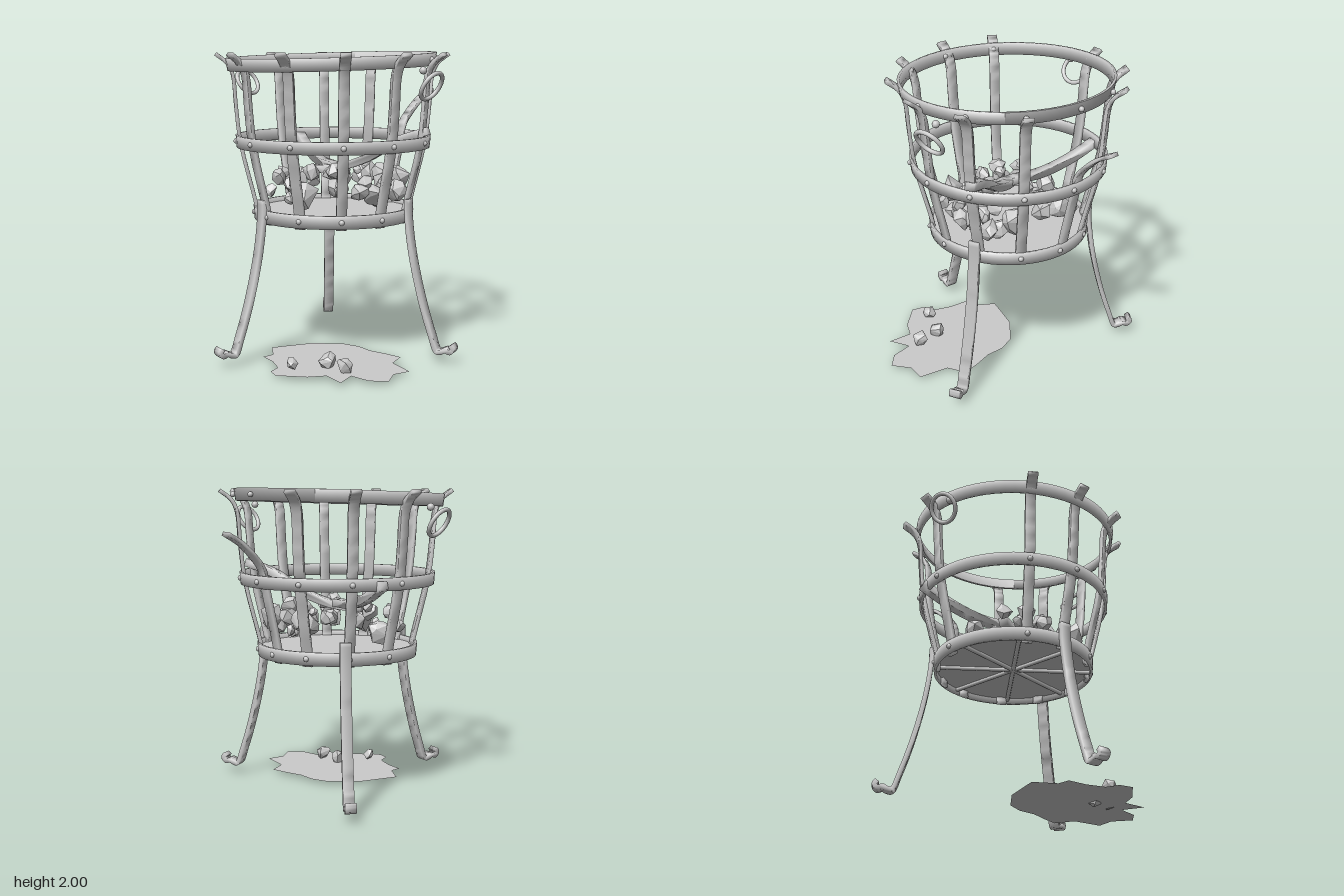
import * as THREE from 'three';
import { toCreasedNormals } from 'three/addons/utils/BufferGeometryUtils.js';
import { ConvexGeometry } from 'three/addons/geometries/ConvexGeometry.js';

const CX = -0.025, CZ = 0.017; // basket axis
const rad = THREE.MathUtils.degToRad;

export function createModel() {
  const model = new THREE.Group();
  model.name = 'fireBasket';
  const iron = new THREE.MeshStandardMaterial({ color: 0xcacaca });
  iron.name = 'light grey';
  iron.side = THREE.DoubleSide;

  let seed = 7;
  const rnd = () => (seed = (seed * 16807) % 2147483647) / 2147483647;

  const add = (name, geo, parent = model) => {
    const mesh = new THREE.Mesh(geo, iron);
    mesh.name = name;
    parent.add(mesh);
    return mesh;
  };

  // Forged iron bar with soft edges: path in the (radius, height) plane, given a thickness and a width
  const barGeo = (path, thick, width, steps = 24) => {
    const curve = new THREE.CatmullRomCurve3(path.map(([r, y]) => new THREE.Vector3(r, y, 0)));
    const outer = [], inner = [];
    for (let i = 0; i <= steps; i++) {
      const p = curve.getPoint(i / steps), t = curve.getTangent(i / steps);
      outer.push(new THREE.Vector2(p.x + t.y * thick / 2, p.y - t.x * thick / 2));
      inner.unshift(new THREE.Vector2(p.x - t.y * thick / 2, p.y + t.x * thick / 2));
    }
    const geo = new THREE.ExtrudeGeometry(new THREE.Shape([...outer, ...inner]), { depth: width, bevelEnabled: false });
    geo.translate(0, 0, -width / 2);
    return toCreasedNormals(geo, rad(100));
  };

  // Turns a part around the basket axis; 0 is +x and 90 is the front
  const place = (mesh, deg) => {
    mesh.position.set(CX, 0, CZ);
    mesh.rotation.y = -rad(deg);
  };

  // Hoops with soft edges, the top one tilted up at the back
  const hoop = (name, rLow, rHigh, y, h, tilt, z) => {
    const t = 0.018;
    const profile = [[rLow - t, y - h / 2], [rLow, y - h / 2], [rHigh, y + h / 2], [rHigh - t, y + h / 2], [rLow - t, y - h / 2]];
    const geo = new THREE.LatheGeometry(profile.map(([a, b]) => new THREE.Vector2(a, b)), 64);
    const pos = geo.attributes.position;
    for (let i = 0; i < pos.count; i++) pos.setY(i, pos.getY(i) - tilt * pos.getZ(i));
    add(name, toCreasedNormals(geo, rad(100))).position.set(CX, 0, z);
  };
  hoop('topHoop', 0.676, 0.688, 1.938, 0.08, 0.035, 0.033);
  hoop('middleHoop', 0.636, 0.642, 1.42, 0.08, 0, CZ);
  hoop('bottomHoop', 0.524, 0.53, 0.95, 0.085, 0, CZ);

  // Upright straps with rivets; one is missing and the back one is bent outward
  const straight = [[0.495, 0.9], [0.512, 1.0], [0.608, 1.4], [0.637, 1.65], [0.655, 1.85], [0.69, 1.925], [0.765, 1.985]];
  const bent = [[0.495, 0.9], [0.512, 1.0], [0.608, 1.4], [0.63, 1.5], [0.7, 1.585], [0.79, 1.665], [0.905, 1.73]];
  const strapGeo = barGeo(straight, 0.025, 0.066);
  const bentGeo = barGeo(bent, 0.025, 0.062);
  const rivetGeo = new THREE.SphereGeometry(0.018, 10, 8);
  for (let deg = 0; deg < 360; deg += 30) {
    if (deg === 150) continue;
    const isBent = deg === 270;
    const turn = deg === 90 ? 92 : isBent ? 266 : deg;
    place(add(isBent ? 'bentStrap' : 'strap', isBent ? bentGeo : strapGeo), turn);
    const a = rad(deg);
    for (const [r, y, tilt] of [[0.525, 0.95, 0], [0.638, 1.42, 0], [0.68, 1.938, 0.035]]) {
      add('rivet', rivetGeo).position.set(CX + r * Math.cos(a), y - tilt * r * Math.sin(a), CZ + r * Math.sin(a));
    }
  }

  // Three legs with curled feet
  const legGeo = barGeo([[0.54, 1.06], [0.545, 0.92], [0.575, 0.7], [0.645, 0.4], [0.715, 0.18], [0.755, 0.08],
    [0.785, 0.08], [0.815, 0.095], [0.845, 0.085], [0.866, 0.11], [0.85, 0.133]], 0.032, 0.07, 50);
  for (const deg of [93, 213, 332]) place(add('leg', legGeo), deg);

  // Floor plate on a star of rods
  add('floorPlate', new THREE.CylinderGeometry(0.515, 0.515, 0.012, 64)).position.set(CX, 0.955, CZ);
  const rodGeo = new THREE.CylinderGeometry(0.014, 0.014, 1.02, 8).rotateZ(Math.PI / 2);
  for (let i = 0; i < 4; i++) {
    const rod = add('floorRod', rodGeo);
    rod.position.set(CX, 0.938, CZ);
    rod.rotation.y = rad(i * 45 + 10);
  }

  // Ring handles, leaning outward from their knobs
  for (const deg of [165, 345]) {
    const handle = new THREE.Group();
    handle.name = 'handle';
    place(handle, deg);
    const ring = add('handleRing', new THREE.TorusGeometry(0.092, 0.014, 10, 40).rotateY(Math.PI / 2), handle);
    ring.position.set(0.775, 1.79, 0);
    ring.rotation.z = rad(30) * -1;
    add('handleKnob', new THREE.SphereGeometry(0.024, 12, 8), handle).position.set(0.712, 1.885, 0);
    model.add(handle);
  }

  // Two fallen bars lying on the coals: start x, z, end x, z, then heights along the bar
  const fallen = [
    [-0.67, -0.14, 0.16, 0.05, [1.42, 1.32, 1.26, 1.25, 1.22]],
    [0.54, -0.32, -0.18, 0.1, [1.5, 1.43, 1.31, 1.24, 1.22]]
  ];
  for (const [x0, z0, x1, z1, ys] of fallen) {
    const len = Math.hypot(x1 - x0, z1 - z0);
    const bar = add('fallenBar', barGeo(ys.map((y, i) => [len * i / 4, y]), 0.052, 0.062));
    bar.position.set(x0, 0, z0);
    bar.rotation.y = -Math.atan2(z1 - z0, x1 - x0);
  }

  // Coal lumps: angular hulls at x, y, z with a size
  const lump = (name, [x, y, z, s]) => {
    const pts = [];
    for (let i = 0; i < 18; i++) {
      const h = 1 - 2 * (i + 0.5) / 18, a = i * 2.4 + rnd() * 1.2, w = Math.sqrt(1 - h * h);
      const r = s * (0.75 + 0.55 * rnd());
      pts.push(new THREE.Vector3(r * w * Math.cos(a), r * h, 0.85 * r * w * Math.sin(a)));
    }
    const mesh = add(name, new ConvexGeometry(pts));
    mesh.position.set(x, y, z);
    mesh.rotation.y = rnd() * 6;
  };
  [
    [-0.2, 1.14, -0.35, 0.07], [-0.13, 1.17, -0.37, 0.065], [0, 1.18, -0.35, 0.065], [0.09, 1.08, -0.28, 0.035],
    [-0.14, 1.17, -0.16, 0.05], [-0.05, 1.2, -0.2, 0.03], [0.22, 1.17, -0.33, 0.085], [0.33, 1.1, -0.24, 0.065],
    [0.23, 1.22, -0.17, 0.065], [0.27, 1.1, -0.25, 0.06], [0.3, 1.17, -0.15, 0.06], [0.36, 1.13, -0.09, 0.055]
  ].forEach(c => lump('coal', c));
  [
    [0.37, 1.1, -0.01, 0.065], [0.36, 1.12, 0.09, 0.06], [0.36, 1.18, 0.04, 0.05], [0.23, 1.2, 0.12, 0.055],
    [0.16, 1.23, 0.14, 0.06], [0.08, 1.22, 0.12, 0.05], [0.13, 1.13, 0.12, 0.06], [-0.4, 1.1, 0.07, 0.08],
    [-0.29, 1.19, 0.25, 0.05], [-0.26, 1.09, 0.36, 0.045], [-0.18, 1.19, 0.34, 0.055], [-0.11, 1.22, 0.21, 0.04],
    [0.02, 1.22, 0.23, 0.06], [-0.01, 1.17, 0.32, 0.06], [0.04, 1.07, 0.41, 0.04], [0.17, 1.1, 0.385, 0.085],
    [0.35, 1.13, 0.22, 0.045], [-0.21, 1.15, 0.05, 0.05], [0.1, 1.14, 0.05, 0.06], [0.3, 1.06, -0.1, 0.06]
  ].forEach(c => lump('coal', c));
  [[0.52, 0.068, 0.32, 0.05], [0.37, 0.066, 0.34, 0.055], [0.28, 0.065, 0.56, 0.04]].forEach(c => lump('spilledCoal', c));

  // Ash patch on the ground
  const outline = [[0.48, -0.16], [0.55, -0.04], [0.62, -0.03], [0.75, -0.01], [0.74, 0.11], [0.83, 0.22], [0.75, 0.31],
    [0.61, 0.34], [0.68, 0.47], [0.52, 0.46], [0.47, 0.57], [0.33, 0.71], [0.24, 0.69], [0.2, 0.61], [0.08, 0.57],
    [-0.05, 0.56], [-0.06, 0.48], [-0.2, 0.4], [-0.17, 0.28], [-0.13, 0.13], [0, -0.04], [0.12, -0.09], [0.24, -0.09], [0.36, -0.13]];
  const ash = new THREE.ShapeGeometry(new THREE.Shape(outline.map(([x, z]) => new THREE.Vector2(x, -z))));
  add('ashPatch', ash.rotateX(-Math.PI / 2)).position.y = 0.028;

  return model;
}
